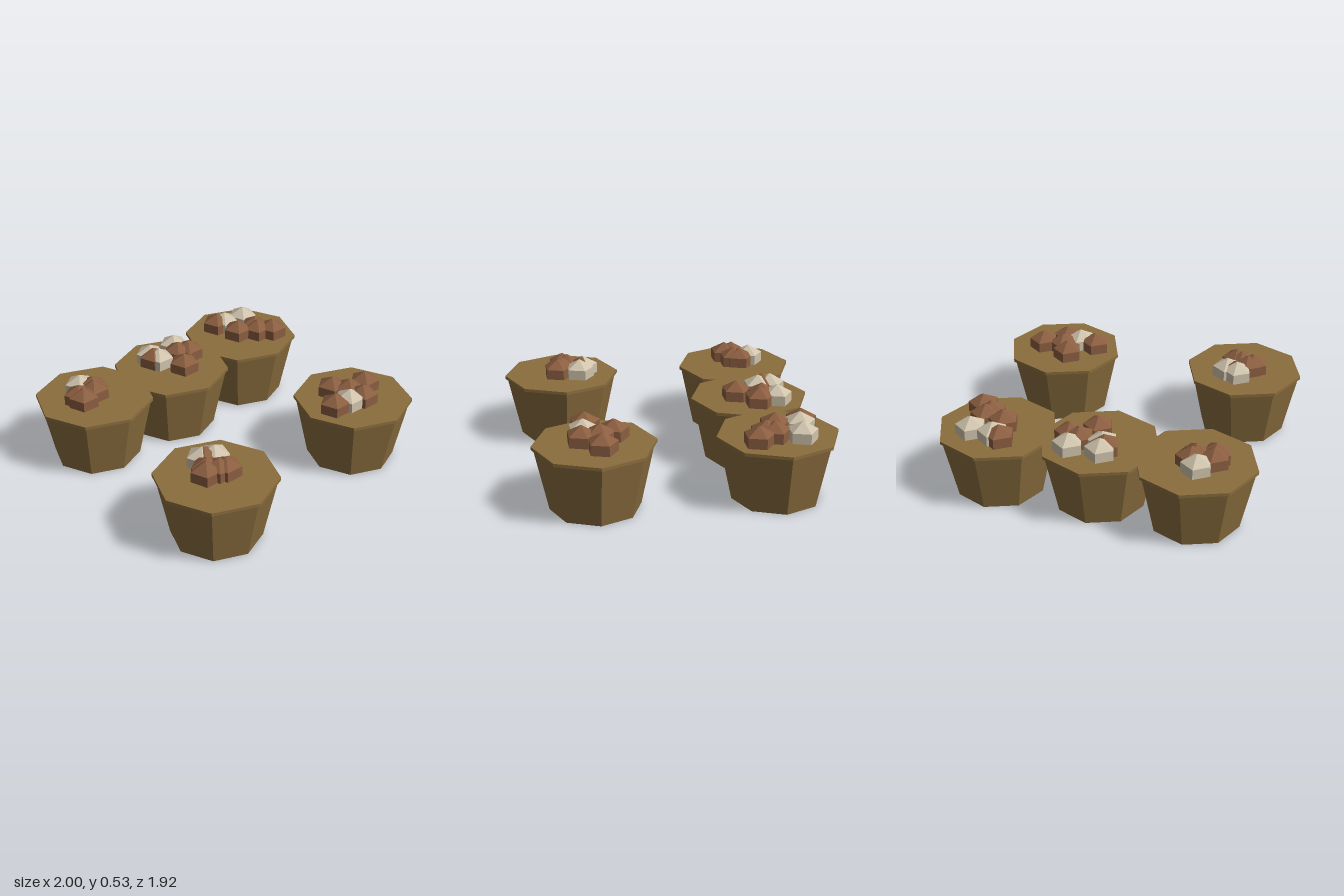
import * as THREE from 'three';

const POT_HEIGHT = 0.39, RIM_TOP = 0.41, NUT_SHOULDER = 0.475, NUT_TOP = 0.53;

// pot centres, with the [x, z] spots of the brown and cream pieces on each
const POTS = [
  { at: [-0.62, -0.593],
    brown: [[-0.73, -0.60], [-0.73, -0.55], [-0.60, -0.63], [-0.62, -0.59]],
    cream: [[-0.65, -0.70]] },
  { at: [-0.015, -0.561],
    brown: [[-0.08, -0.66], [0.09, -0.62], [0.16, -0.59], [0.02, -0.47]],
    cream: [[-0.07, -0.71], [0.13, -0.71], [-0.06, -0.63]] },
  { at: [0.625, -0.593],
    brown: [[0.55, -0.75], [0.59, -0.58], [0.72, -0.55], [0.70, -0.50], [0.78, -0.44]],
    cream: [[0.60, -0.73], [0.75, -0.71]] },
  { at: [-0.625, 0.583],
    brown: [[-0.69, 0.57], [-0.66, 0.54], [-0.61, 0.59], [-0.57, 0.61], [-0.60, 0.45]],
    cream: [[-0.61, 0.44], [-0.54, 0.47]] },
  { at: [0.594, 0.503],
    brown: [[0.53, 0.38], [0.59, 0.47], [0.73, 0.47], [0.39, 0.54], [0.60, 0.58]],
    cream: [[0.50, 0.56]] },
];

const flat = (color) => new THREE.MeshStandardMaterial({ color, flatShading: true });

function part(name, geometry, material, x, y, z) {
  const mesh = new THREE.Mesh(geometry, material);
  mesh.name = name;
  mesh.position.set(x, y, z);
  return mesh;
}

export function createModel() {
  const model = new THREE.Group();
  model.name = 'pottedPieces';

  const wood = flat(0x8b6d3e), brown = flat(0x8b5e40), cream = flat(0xcfc3ac);

  // tapered eight-sided pot and its thin lid
  const potGeo = new THREE.CylinderGeometry(0.36, 0.276, POT_HEIGHT, 8);
  const rimGeo = new THREE.CylinderGeometry(0.374, 0.374, RIM_TOP - POT_HEIGHT, 8);

  // five-sided piece: short prism with a pointed top, one corner to the back
  const nutGeo = new THREE.LatheGeometry([
    new THREE.Vector2(0, 0),
    new THREE.Vector2(0.095, 0),
    new THREE.Vector2(0.095, NUT_SHOULDER - RIM_TOP),
    new THREE.Vector2(0, NUT_TOP - RIM_TOP),
  ], 5, Math.PI);

  for (const { at: [x, z], ...pieces } of POTS) {
    const pot = new THREE.Group();
    pot.name = 'filledPot';
    pot.add(part('pot', potGeo, wood, x, POT_HEIGHT / 2, z));
    pot.add(part('rim', rimGeo, wood, x, (POT_HEIGHT + RIM_TOP) / 2, z));
    for (const [px, pz] of pieces.brown) pot.add(part('brownPiece', nutGeo, brown, px, RIM_TOP, pz));
    for (const [px, pz] of pieces.cream) pot.add(part('creamPiece', nutGeo, cream, px, RIM_TOP, pz));
    model.add(pot);
  }
  return model;
}
